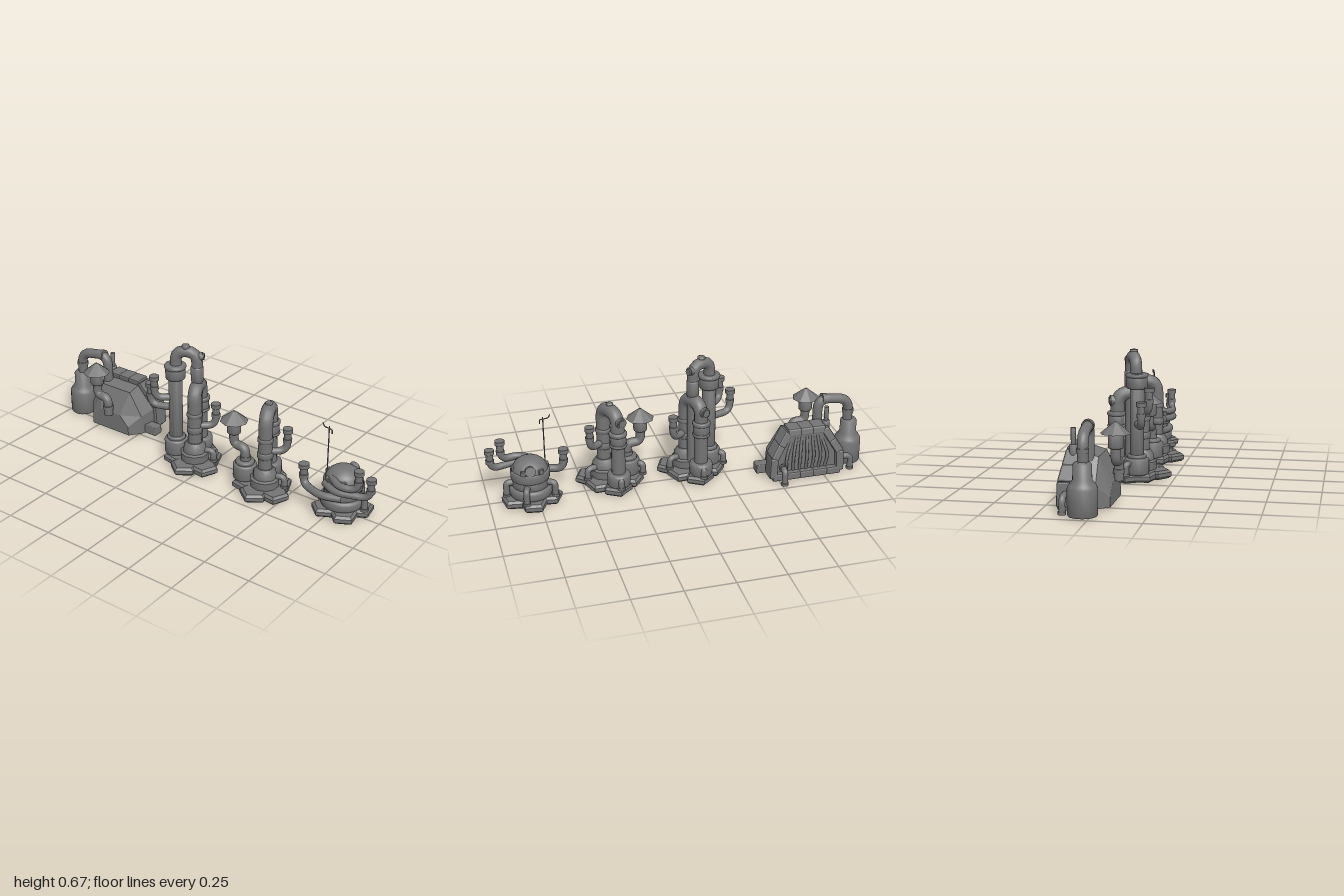
import * as THREE from 'three';
import { toCreasedNormals } from 'three/addons/utils/BufferGeometryUtils.js';
import { RoundedBoxGeometry } from 'three/addons/geometries/RoundedBoxGeometry.js';

const mat = new THREE.MeshStandardMaterial({ color: 0x747474, side: THREE.DoubleSide });
const V = (x, y, z) => new THREE.Vector3(x, y, z);

function add(group, name, geo, x = 0, y = 0, z = 0) {
  const m = new THREE.Mesh(geo, mat);
  m.name = name;
  m.position.set(x, y, z);
  group.add(m);
  return m;
}

// Turned part: profile is a list of [radius, height]
function turned(group, name, x, z, profile, sides = 24) {
  const pts = profile.map(p => new THREE.Vector2(p[0], p[1]));
  return add(group, name, toCreasedNormals(new THREE.LatheGeometry(pts, sides), 0.85), x, 0, z);
}

// Closed cylinder with rounded rims
function tank(group, name, x, z, y0, y1, r, b = 0.01) {
  const k = b * 0.3;
  return turned(group, name, x, z, [[0, y0], [r - b, y0], [r - k, y0 + k], [r, y0 + b], [r, y1 - b], [r - k, y1 - k], [r - b, y1], [0, y1]]);
}

// Pipe through corner points, with rounded bends
function pipe(group, name, pts, r, bend = 0.05) {
  const path = new THREE.CurvePath();
  let from = pts[0];
  for (let i = 1; i < pts.length - 1; i++) {
    const p = pts[i], a = pts[i - 1], c = pts[i + 1];
    const d = Math.min(bend, p.distanceTo(a) * 0.49, p.distanceTo(c) * 0.49);
    const s = p.clone().add(a.clone().sub(p).setLength(d));
    const e = p.clone().add(c.clone().sub(p).setLength(d));
    path.add(new THREE.LineCurve3(from, s));
    path.add(new THREE.QuadraticBezierCurve3(s, p, e));
    from = e;
  }
  path.add(new THREE.LineCurve3(from, pts[pts.length - 1]));
  return add(group, name, new THREE.TubeGeometry(path, 14 * pts.length, r, 14));
}

// Collar disc facing along a direction
function collar(group, name, p, dir, r, len) {
  const m = add(group, name, toCreasedNormals(new THREE.CylinderGeometry(r, r, len, 16), 0.6), p.x, p.y, p.z);
  m.quaternion.setFromUnitVectors(V(0, 1, 0), dir.clone().normalize());
  return m;
}

// Arm pipe that ends in an upright flanged mouth
function arm(group, name, pts, r) {
  pipe(group, name + 'Pipe', pts, r);
  const e = pts[pts.length - 1], up = V(0, 1, 0);
  collar(group, name + 'Mouth', e.clone().setY(e.y - 0.01), up, r * 1.35, 0.022);
  collar(group, name + 'Collar', e.clone().setY(e.y - 0.065), up, r * 1.2, 0.02);
}

// Small elbow from a wall down to the floor
function drain(group, x, y, z, dx, dz, floor = 0.04) {
  pipe(group, 'drainPipe', [V(x, y, z), V(x + dx, y, z + dz), V(x + dx, floor, z + dz)], 0.016, 0.035);
  collar(group, 'drainFoot', V(x + dx, floor + 0.007, z + dz), V(0, 1, 0), 0.02, 0.014);
}

// Five sided floor slab with wide chamfers
function slab(group, x, z, r, turn) {
  const shape = new THREE.Shape(), b = 0.012;
  for (let i = 0; i < 5; i++) {
    const a = turn + i * Math.PI * 0.4, p = [(r - b) * Math.cos(a), (r - b) * Math.sin(a)];
    i ? shape.lineTo(...p) : shape.moveTo(...p);
  }
  const g = new THREE.ExtrudeGeometry(shape, { depth: 0.02, bevelSize: b, bevelThickness: b, bevelSegments: 1 });
  g.rotateX(-Math.PI / 2);
  add(group, 'floorSlab', g, x, b, z);
}

// Chimney with a pointed rain hat and an S bend below it
function hatChimney(group, x, z) {
  pipe(group, 'chimneyPipe', [V(x, 0.31, z), V(x, 0.21, z), V(x + 0.072, 0.21, z), V(x + 0.072, 0.11, z)], 0.024, 0.045);
  tank(group, 'chimneyThroat', x, z, 0.275, 0.35, 0.036, 0.007);
  const hat = new THREE.CylinderGeometry(0.006, 0.073, 0.055, 8).toNonIndexed();
  hat.computeVertexNormals();
  add(group, 'chimneyHat', hat, x, 0.372, z);
  collar(group, 'chimneyCollar', V(x + 0.072, 0.155, z), V(0, 1, 0), 0.028, 0.02);
}

// Shared lower works of the two towers, centred on x = 0
function towerBase() {
  const g = new THREE.Group();
  [[-0.005, -0.045, 0.4], [0.07, 0.015, 1], [0.11, 0.105, 0.2], [0.025, 0.155, 0.9], [-0.085, 0.03, 0.6], [-0.06, 0.095, 0.1]]
    .forEach(([x, z, t]) => slab(g, x, z, 0.076, t));
  // side tank and its lid
  tank(g, 'sideTank', -0.09, 0.075, 0.04, 0.125, 0.062);
  tank(g, 'sideTankLid', -0.09, 0.075, 0.12, 0.142, 0.048, 0.006);
  // front and back columns joined by an arch
  turned(g, 'frontFoot', 0.035, 0.08, [[0, 0.04], [0.074, 0.04], [0.076, 0.085], [0.062, 0.092], [0.06, 0.12], [0.042, 0.145], [0, 0.145]], 10);
  tank(g, 'backFoot', -0.015, -0.045, 0.04, 0.11, 0.06);
  pipe(g, 'archPipe', [V(0.035, 0.1, 0.08), V(0.035, 0.437, 0.08), V(-0.015, 0.437, -0.04), V(-0.015, 0.05, -0.04)], 0.036, 0.075);
  tank(g, 'frontSleeve', 0.035, 0.08, 0.2, 0.235, 0.041, 0.006);
  tank(g, 'frontRing', 0.035, 0.08, 0.29, 0.315, 0.041, 0.006);
  tank(g, 'backDrum', -0.015, -0.045, 0.27, 0.33, 0.042, 0.004);
  [[0.262, 0.28], [0.322, 0.345]].forEach(([a, b]) => tank(g, 'backDrumRim', -0.015, -0.045, a, b, 0.047, 0.008));
  const out = V(-0.37, 0, -0.93);
  collar(g, 'inspectionCap', V(-0.025, 0.4, -0.06), out, 0.028, 0.03);
  collar(g, 'inspectionPlug', V(-0.027, 0.4, -0.065), out, 0.02, 0.03);
  arm(g, 'branch', [V(0.035, 0.235, 0.08), V(0.12, 0.235, 0.01), V(0.12, 0.36, 0.01)], 0.019);
  drain(g, 0.08, 0.1, 0.06, 0.05, -0.015);
  drain(g, -0.015, 0.09, -0.07, 0, -0.03);
  drain(g, -0.13, 0.1, 0.05, -0.03, -0.02);
  return g;
}

function tallTower() {
  const g = towerBase();
  g.name = 'tallTower';
  g.position.x = -0.093;
  // tall column, top drum and upper arch
  pipe(g, 'tallPipe', [V(-0.09, 0.1, 0.075), V(-0.09, 0.628, 0.07), V(0.012, 0.628, 0.025), V(0.012, 0.05, 0.025)], 0.03, 0.07);
  tank(g, 'tallColumn', -0.09, 0.075, 0.13, 0.49, 0.036, 0.005);
  tank(g, 'topDrum', -0.09, 0.075, 0.475, 0.535, 0.052, 0.005);
  tank(g, 'topDrumRim', -0.09, 0.075, 0.53, 0.552, 0.058, 0.01);
  tank(g, 'downSleeve', 0.012, 0.025, 0.465, 0.55, 0.033, 0.006);
  tank(g, 'topPlug', -0.04, 0.05, 0.63, 0.665, 0.02, 0.003);
  collar(g, 'archCap', V(0.022, 0.605, 0.016), V(0.9, 0, -0.44), 0.023, 0.03);
  collar(g, 'archCapPlug', V(0.03, 0.605, 0.012), V(0.9, 0, -0.44), 0.017, 0.03);
  // two side arms
  arm(g, 'lowArm', [V(-0.09, 0.3, 0.075), V(-0.22, 0.3, 0.12), V(-0.22, 0.425, 0.12)], 0.019);
  arm(g, 'highArm', [V(-0.09, 0.365, 0.075), V(-0.17, 0.365, 0.15), V(-0.17, 0.49, 0.15)], 0.019);
  return g;
}

function shortTower() {
  const g = towerBase();
  g.name = 'shortTower';
  g.position.x = 0.347;
  tank(g, 'archPlug', 0.01, 0.02, 0.455, 0.479, 0.018, 0.003);
  hatChimney(g, -0.16, 0.075);
  return g;
}

function domeBoiler() {
  const g = new THREE.Group();
  g.name = 'domeBoiler';
  g.position.set(0.783, 0, -0.01);
  tank(g, 'floorPlate', 0, 0, 0.01, 0.04, 0.09);
  for (let i = 0; i < 5; i++) {
    const a = 0.3 + i * Math.PI * 0.4;
    slab(g, 0.09 * Math.cos(a), -0.088 * Math.sin(a), 0.07, a + 0.5);
  }
  tank(g, 'boilerFoot', 0, 0, 0.04, 0.095, 0.11, 0.015);
  tank(g, 'boilerWaist', 0, 0, 0.09, 0.14, 0.094, 0.006);
  tank(g, 'boilerBand', 0, 0, 0.135, 0.185, 0.1, 0.006);
  turned(g, 'dome', 0, 0, [[0.092, 0.18], [0.087, 0.2], [0.074, 0.22], [0.054, 0.236], [0.03, 0.245], [0, 0.248]], 28);
  // lugs around the dome
  for (let i = 0; i < 6; i++) {
    const a = (i + 0.5) * Math.PI / 3;
    add(g, 'domeLug', new RoundedBoxGeometry(0.03, 0.035, 0.016, 1, 0.004), 0.088 * Math.sin(a), 0.19, 0.088 * Math.cos(a)).rotation.y = a;
  }
  collar(g, 'porthole', V(0.01, 0.205, -0.078), V(0, 0.3, -1), 0.027, 0.03);
  // arms wrapped around the front
  arm(g, 'rightArm', [V(0.04, 0.115, 0.08), V(-0.06, 0.115, 0.115), V(-0.185, 0.115, 0.07), V(-0.185, 0.23, 0.07)], 0.02);
  arm(g, 'leftLowArm', [V(-0.06, 0.168, 0.075), V(0.02, 0.168, 0.122), V(0.191, 0.168, 0.07), V(0.191, 0.275, 0.07)], 0.0185);
  arm(g, 'leftHighArm', [V(-0.03, 0.203, 0.06), V(0.04, 0.203, 0.118), V(0.133, 0.203, 0.09), V(0.133, 0.31, 0.09)], 0.0185);
  // floor drains
  drain(g, 0.085, 0.115, 0, 0.04, 0);
  drain(g, 0.03, 0.115, -0.085, 0.01, -0.035);
  drain(g, -0.08, 0.115, -0.04, -0.035, -0.02);
  // aerial
  pipe(g, 'aerialMast', [V(-0.082, 0.17, 0.02), V(-0.082, 0.45, 0.02)], 0.003);
  pipe(g, 'aerialFork', [V(-0.118, 0.46, 0.02), V(-0.11, 0.442, 0.02), V(-0.065, 0.437, 0.02), V(-0.065, 0.415, 0.02)], 0.003, 0.008);
  return g;
}

function generator() {
  const g = new THREE.Group();
  g.name = 'generator';
  const cx = -0.653;
  const outline = [[-0.195, 0], [-0.19, 0.115], [-0.105, 0.253], [0.105, 0.253], [0.19, 0.115], [0.195, 0]];
  // faceted body lofted from back to front: [z, width scale, height scale]
  const rings = [[-0.15, 0.9, 0.94], [-0.09, 0.97, 1], [0.0, 0.9, 0.9], [0.06, 0.65, 0.42]];
  const pos = [], idx = [], n = outline.length;
  rings.forEach(([z, sx, sy]) => outline.forEach(([x, y]) => pos.push(cx + x * sx, 0.01 + y * sy, z)));
  for (let r = 0; r < rings.length - 1; r++) for (let i = 0; i < n; i++) {
    const a = r * n + i, b = r * n + (i + 1) % n;
    idx.push(a, a + n, b, b, a + n, b + n);
  }
  const last = (rings.length - 1) * n;
  for (let i = 1; i < n - 1; i++) idx.push(0, i, i + 1, last, last + i + 1, last + i);
  let body = new THREE.BufferGeometry();
  body.setAttribute('position', new THREE.Float32BufferAttribute(pos, 3));
  body.setIndex(idx);
  body = body.toNonIndexed();
  body.computeVertexNormals();
  add(g, 'body', body);
  // segmented frame around the back, sheared forward above the first bend
  for (let i = 0; i < n; i++) {
    const [ax, ay] = outline[i], [bx, by] = outline[(i + 1) % n];
    const len = Math.hypot(bx - ax, by - ay), parts = Math.max(1, Math.round(len / 0.08));
    for (let k = 0; k < parts; k++) {
      const t = (k + 0.5) / parts;
      const block = new RoundedBoxGeometry(len / parts + 0.004, 0.044, 0.085, 1, 0.009);
      block.rotateZ(Math.atan2(by - ay, bx - ax));
      block.translate(cx + (ax + (bx - ax) * t) * 0.95, 0.022 + (ay + (by - ay) * t) * 0.95, -0.134);
      const p = block.attributes.position;
      for (let v = 0; v < p.count; v++) p.setZ(v, p.getZ(v) + Math.max(0, p.getY(v) - 0.115) * 0.18);
      block.computeVertexNormals();
      add(g, 'frameBlock', block);
    }
  }
  // bowed grille bars in the back
  for (let i = -3; i <= 3; i++) {
    const x = cx + i * 0.035, top = 0.235 - Math.max(0, Math.abs(i) - 2) * 0.03;
    pipe(g, 'grilleBar', [V(x, 0.04, -0.148), V(x + i * 0.004, 0.12, -0.166), V(x - i * 0.006, top, -0.145)], 0.008, 0.07);
  }
  // gas bottle and its overhead pipe
  turned(g, 'gasBottle', -0.93, -0.035, [[0, 0.005], [0.066, 0.005], [0.07, 0.012], [0.07, 0.13], [0.064, 0.145], [0.045, 0.17], [0.043, 0.24], [0.034, 0.25], [0, 0.25]]);
  pipe(g, 'overheadPipe', [V(-0.922, 0.24, -0.035), V(-0.922, 0.365, -0.035), V(-0.745, 0.393, -0.045), V(-0.745, 0.2, -0.045)], 0.026, 0.07);
  collar(g, 'overheadCollar', V(-0.775, 0.386, -0.043), V(1, 0.1, 0), 0.03, 0.022);
  collar(g, 'bottleCollar', V(-0.922, 0.3, -0.035), V(0, 1, 0), 0.03, 0.02);
  // exhaust post on the frame
  tank(g, 'postFoot', -0.768, -0.113, 0.23, 0.296, 0.02, 0.004);
  tank(g, 'post', -0.768, -0.113, 0.28, 0.375, 0.012, 0.002);
  hatChimney(g, -0.723, 0.075);
  // outlets to the floor and a side box
  drain(g, -0.515, 0.08, -0.165, 0, -0.05, 0);
  drain(g, -0.84, 0.08, -0.135, -0.07, 0, 0);
  collar(g, 'outletCollar', V(-0.515, 0.08, -0.182), V(0, 0, 1), 0.021, 0.016);
  add(g, 'sideBox', new RoundedBoxGeometry(0.075, 0.05, 0.058, 1, 0.005), -0.443, 0.032, -0.05);
  collar(g, 'sideBoxSocket', V(-0.48, 0.035, -0.05), V(1, 0, 0), 0.02, 0.06);
  return g;
}

export function createModel() {
  const model = new THREE.Group();
  model.name = 'factoryMachines';
  model.add(generator(), tallTower(), shortTower(), domeBoiler());
  return model;
}
